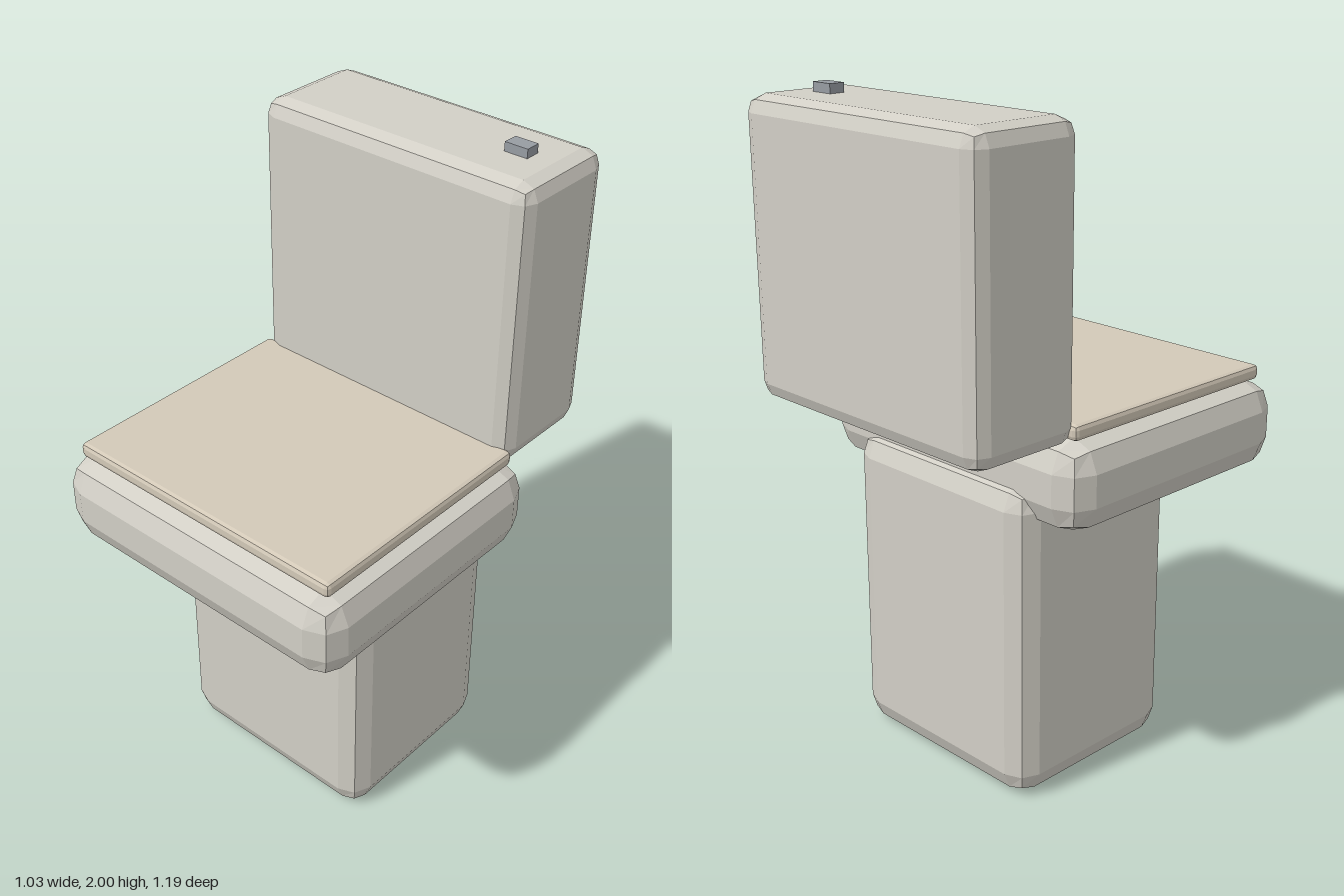
import * as THREE from 'three';
import { RoundedBoxGeometry } from 'three/addons/geometries/RoundedBoxGeometry.js';

const material = (color) => new THREE.MeshStandardMaterial({ color, flatShading: true });

// Box with two-facet bevels, placed by its extents
function addBox(group, name, mat, [x0, x1], [y0, y1], [z0, z1], bevel) {
  const size = [x1 - x0, y1 - y0, z1 - z0];
  const geometry = bevel
    ? new RoundedBoxGeometry(...size, 1, bevel)
    : new THREE.BoxGeometry(...size);
  const mesh = new THREE.Mesh(geometry, mat);
  mesh.name = name;
  mesh.position.set((x0 + x1) / 2, (y0 + y1) / 2, (z0 + z1) / 2);
  group.add(mesh);
}

export function createModel() {
  const model = new THREE.Group();
  model.name = 'toilet';
  const ceramic = material(0xd2cfc6);
  const seat = material(0xd3c9b8);
  const metal = material(0x979ca2);

  // Base and bowl
  addBox(model, 'pedestal', ceramic, [-0.36, 0.36], [0, 0.967], [-0.333, 0.286], 0.072);
  addBox(model, 'bowl', ceramic, [-0.517, 0.517], [0.853, 1.12], [-0.296, 0.593], 0.085);

  // Closed seat lid
  addBox(model, 'seatLid', seat, [-0.473, 0.473], [1.122, 1.168], [-0.247, 0.54], 0.014);

  // Cistern with its flush button
  addBox(model, 'cistern', ceramic, [-0.464, 0.464], [1.109, 1.973], [-0.593, -0.226], 0.05);
  addBox(model, 'flushButton', metal, [0.273, 0.347], [1.965, 2], [-0.434, -0.386], 0);

  return model;
}
